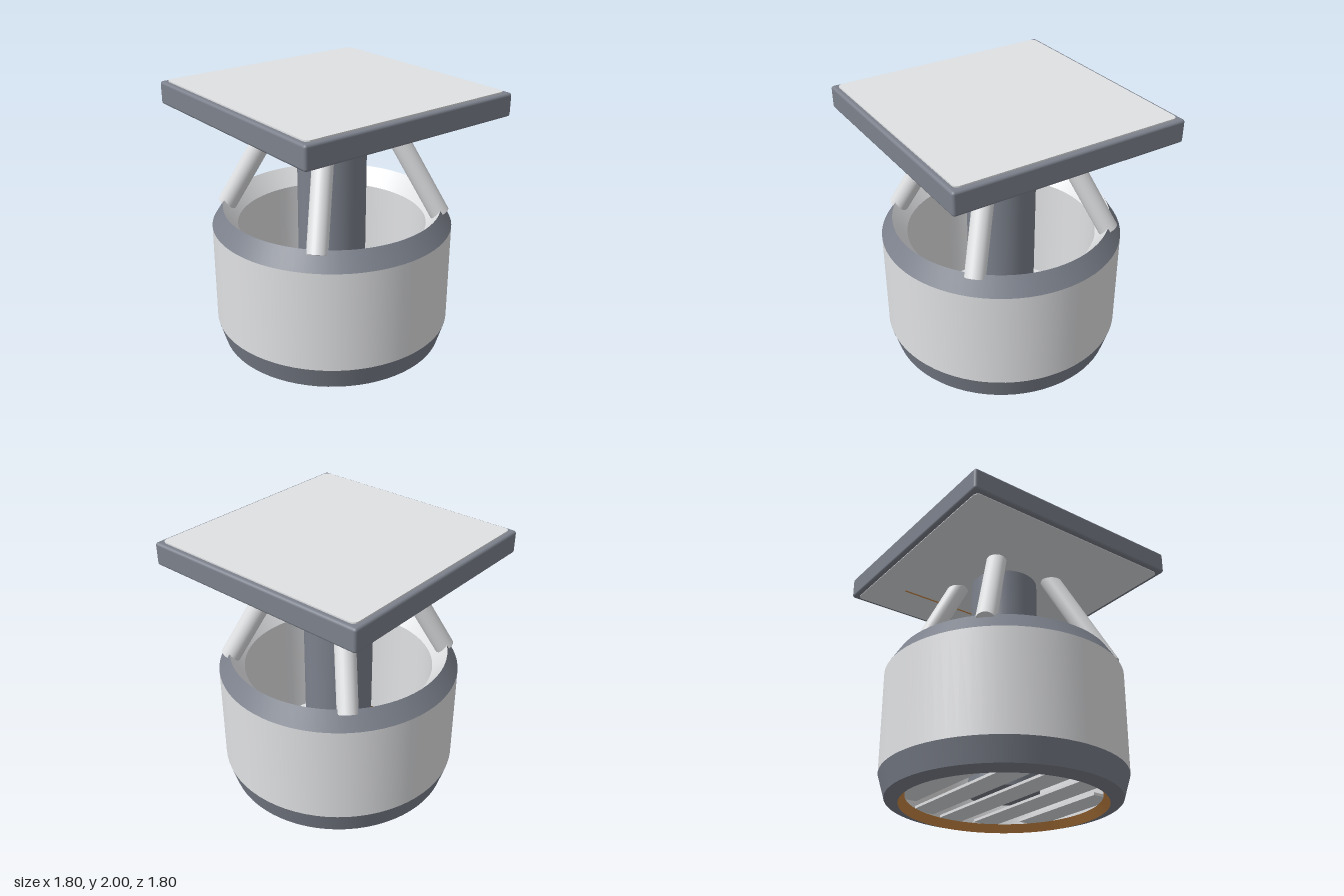
import * as THREE from 'three';
import { RoundedBoxGeometry } from 'three/addons/geometries/RoundedBoxGeometry.js';

const mat = (name, color) => Object.assign(new THREE.MeshStandardMaterial({ color }), { name });

// Flat square panel with rounded corners, lying in the xz plane with its base at y = 0
function panelGeometry(half, radius, height) {
  const inner = half - radius;
  const shape = new THREE.Shape();
  shape.absarc(inner, inner, radius, 0, Math.PI / 2);
  shape.absarc(-inner, inner, radius, Math.PI / 2, Math.PI);
  shape.absarc(-inner, -inner, radius, Math.PI, Math.PI * 1.5);
  shape.absarc(inner, -inner, radius, Math.PI * 1.5, Math.PI * 2);
  return new THREE.ExtrudeGeometry(shape, { depth: height, bevelEnabled: false, curveSegments: 6 })
    .rotateX(-Math.PI / 2);
}

export function createModel() {
  const light = mat('light grey', 0xe0e1e3);
  const slate = mat('slate', 0x7c818c);
  const copper = mat('copper', 0xcc8a45);

  const group = new THREE.Group();
  const add = (name, geometry, material, x = 0, y = 0, z = 0) => {
    const mesh = new THREE.Mesh(geometry, material);
    mesh.name = name;
    mesh.position.set(x, y, z);
    group.add(mesh);
    return mesh;
  };
  // One conical band per call keeps the edges between bands sharp
  const band = (name, material, r0, y0, r1, y1) => add(name,
    new THREE.LatheGeometry([new THREE.Vector2(r0, y0), new THREE.Vector2(r1, y1)], 72), material);

  // Hollow drum: underside, outer wall, rim, then down the inside
  band('baseUnderside', slate, 0.75, 0, 0.85, 0.03);
  band('baseBand', slate, 0.85, 0.03, 0.9, 0.2);
  band('drumWall', light, 0.9, 0.2, 0.9, 0.965);
  band('collar', slate, 0.9, 0.965, 0.815, 1.1);
  band('funnel', light, 0.815, 1.1, 0.71, 0.965);
  band('innerWall', light, 0.71, 0.965, 0.71, 0.055);
  band('copperRing', copper, 0.705, 0.06, 0.75, 0);

  // Grille slats across the bottom opening
  for (let i = -2; i <= 2; i++) {
    const z = i * 0.28;
    const length = 2 * Math.sqrt(0.71 ** 2 - z ** 2);
    add('grilleSlat', new THREE.BoxGeometry(length, 0.02, 0.19), light, 0, 0.07, z);
  }

  // Central post with a narrower neck under the plate
  add('post', new THREE.CylinderGeometry(0.257, 0.257, 1.72, 48), slate, 0, 0.94, 0);
  add('postNeck', new THREE.CylinderGeometry(0.2, 0.2, 0.03, 48), slate, 0, 1.81, 0);

  // Four diagonal struts from the collar to the top plate
  const up = new THREE.Vector3(0, 1, 0);
  for (const sx of [-1, 1]) for (const sz of [-1, 1]) {
    const foot = new THREE.Vector3(sx * 0.57, 1.055, sz * 0.57);
    const head = new THREE.Vector3(sx * 0.254, 1.84, sz * 0.254);
    const axis = head.clone().sub(foot);
    const strut = add('strut', new THREE.CylinderGeometry(0.075, 0.075, axis.length(), 28), light);
    strut.position.copy(foot).add(head).multiplyScalar(0.5);
    strut.quaternion.setFromUnitVectors(up, axis.normalize());
  }

  // Square top plate with inset panels and a thin seam underneath
  add('plateFrame', new RoundedBoxGeometry(1.785, 0.17, 1.785, 3, 0.02), slate, 0, 1.905, 0);
  add('topPanel', panelGeometry(0.855, 0.04, 0.03), light, 0, 1.97, 0);
  add('undersidePanel', panelGeometry(0.855, 0.04, 0.03), light, 0, 1.815, 0);
  add('undersideSeam', new THREE.BoxGeometry(0.014, 0.006, 1.2), copper, 0.53, 1.815, 0);

  return group;
}
